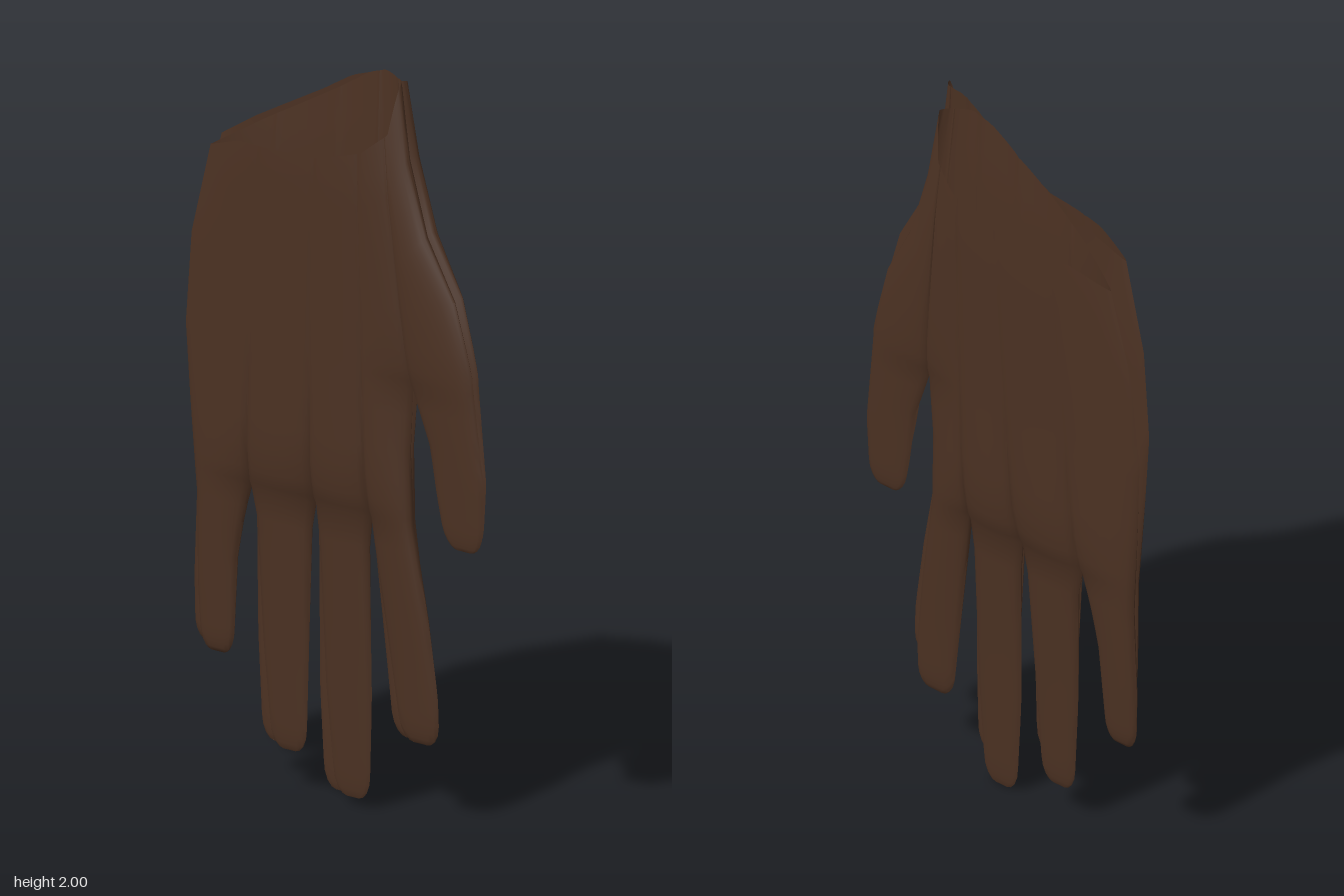
import * as THREE from 'three';
import { toCreasedNormals } from 'three/addons/utils/BufferGeometryUtils.js';

// Piecewise-linear lookup in [[key, value], ...], keys in either order
function at(table, k) {
  const t = table[0][0] <= table[table.length - 1][0] ? table : [...table].reverse();
  if (k <= t[0][0]) return t[0][1];
  for (let i = 1; i < t.length; i++) {
    if (k <= t[i][0]) return THREE.MathUtils.mapLinear(k, t[i - 1][0], t[i][0], t[i - 1][1], t[i][1]);
  }
  return t[t.length - 1][1];
}

// Seams between fingers inside the palm: [y, x] down to the crotch, and half thickness there
const TOP = 1.8, BEND = 1.2;
const seams = [
  { path: [[TOP, -0.2], [0.8, -0.25]], half: 0.037, crotch: 0.8 },
  { path: [[TOP, 0], [0.8, -0.03]], half: 0.044, crotch: 0.8 },
  { path: [[TOP, 0.14], [0.8, 0.16]], half: 0.037, crotch: 0.8 },
  { path: [[TOP, 0.215], [1.17, 0.3]], half: 0.022, crotch: 1.17 },
];
const rim = { half: 0, crotch: 0 };

// Each strip runs from the cuff to a fingertip between a left and a right edge
const fingerBulge = [[0, 0.005], [0.4, 0.013], [0.8, 0.025], [1.2, 0.009], [1.8, 0.006]];
const thumbBulge = [[0.77, 0.007], [1.17, 0.018], [1.5, 0.016], [1.8, 0.008]];
const strips = [
  { // little finger
    crotch: 0.8, tip: 0.325, bulge: fingerBulge, seamL: rim, seamR: seams[0],
    left: [[TOP, -0.39], [1.5, -0.455], [1.2, -0.475], [1, -0.46], [0.75, -0.435], [0.5, -0.435], [0.33, -0.425]],
    right: [...seams[0].path, [0.72, -0.275], [0.6, -0.3], [0.35, -0.315]],
  },
  { // ring finger
    crotch: 0.8, tip: 0.105, bulge: fingerBulge, seamL: seams[0], seamR: seams[1],
    left: [...seams[0].path, [0.74, -0.232], [0.4, -0.215], [0.1, -0.185]],
    right: [...seams[1].path, [0.74, -0.045], [0.1, -0.07]],
  },
  { // middle finger
    crotch: 0.8, tip: 0.02, bulge: fingerBulge, seamL: seams[1], seamR: seams[2],
    left: [...seams[1].path, [0.74, -0.02], [0.3, 0], [0.02, 0.03]],
    right: [...seams[2].path, [0.74, 0.15], [0.3, 0.155], [0.02, 0.145]],
  },
  { // index finger
    crotch: 0.8, tip: 0.212, bulge: fingerBulge, seamL: seams[2], seamR: seams[3],
    left: [...seams[2].path, [0.72, 0.172], [0.22, 0.255]],
    right: [...seams[3].path, [1, 0.29], [0.8, 0.3], [0.55, 0.35], [0.35, 0.38], [0.21, 0.385]],
  },
  { // thumb
    crotch: 1.17, tip: 0.765, bulge: thumbBulge, seamL: seams[3], seamR: rim,
    left: [...seams[3].path, [1.1, 0.328], [1.03, 0.357], [0.9, 0.38], [0.77, 0.41]],
    right: [[TOP, 0.245], [1.62, 0.29], [1.51, 0.34], [1.385, 0.44], [1.24, 0.5], [0.95, 0.54], [0.77, 0.535]],
  },
];

// Cuff height across the hand: low on the outer sheet, high on the inner one
const cuffOuter = [[-0.39, 1.7], [-0.27, 1.74], [0, 1.75], [0.15, 1.79], [0.225, 1.85], [0.245, 1.985]];
const cuffInner = [[-0.39, 1.7], [-0.24, 1.79], [0, 1.92], [0.1, 1.98], [0.16, 2], [0.245, 1.985]];
const middleZ = [[0, 0.058], [0.8, 0.065], [1.7, 0.066], [2, 0.05]];
const palmScale = [[0.8, 0.62], [1.2, 0.92], [1.8, 1.05]];
const palmRows = [TOP, 1.72, 1.65, 1.5, 1.38, 1.28, 1.23, BEND, 1.17, 1.1, 1, 0.92, 0.86, 0.82, 0.8];
const COLS = 10, FINGER_ROWS = 14;

// Seam thickness fades to nothing at the crotch
function seamHalf(seam, y) {
  const web = Math.sqrt(THREE.MathUtils.clamp((y - seam.crotch) / 0.13, 0, 1));
  return seam.half * at(palmScale, y) * web;
}

// Point of one sheet of a strip; side 1 is the outer sheet, -1 the inner one
function sheetPoint(s, y, u, side) {
  const L = at(s.left, y), R = at(s.right, y);
  const near = Math.min((y - s.tip) / 0.06, 1);
  const round = Math.sqrt(Math.max(0, 1 - (1 - near) ** 2));
  const width = (R - L) * (0.35 + 0.65 * round);
  const x = (L + R) / 2 + (u - 0.5) * width;
  const lens = Math.sqrt(Math.max(0, 4 * u * (1 - u)));
  const half = (THREE.MathUtils.lerp(seamHalf(s.seamL, y), seamHalf(s.seamR, y), u)
    + at(s.bulge, y) * lens) * round;
  let height = y;
  if (y > BEND) {
    const topX = THREE.MathUtils.lerp(at(s.left, TOP), at(s.right, TOP), u);
    const cuff = at(side > 0 ? cuffOuter : cuffInner, topX);
    height = BEND + (y - BEND) * (cuff - BEND) / (TOP - BEND);
  }
  return [x, height, at(middleZ, height) + side * half];
}

// One glove as a hollow shell; facing -1 mirrors it front to back
function gloveGeometry(facing) {
  const pos = [], index = [];
  for (const s of strips) {
    const rows = palmRows.filter((y) => y >= s.crotch);
    for (let k = 1; k <= FINGER_ROWS; k++) {
      rows.push(THREE.MathUtils.lerp(s.crotch, s.tip, Math.sin((k / FINGER_ROWS) * Math.PI / 2)));
    }
    for (const side of [1, -1]) {
      const base = pos.length / 3;
      rows.forEach((y, r) => {
        for (let c = 0; c <= COLS; c++) {
          const u = (1 - Math.cos((c / COLS) * Math.PI)) / 2;
          const [px, py, pz] = sheetPoint(s, y, u, side);
          pos.push(px, py, pz * facing);
          if (r === 0 || c === 0) continue;
          const d = base + r * (COLS + 1) + c, b = d - COLS - 1;
          if (side * facing > 0) index.push(b - 1, d - 1, d, b - 1, d, b);
          else index.push(b - 1, d, d - 1, b - 1, b, d);
        }
      });
    }
  }
  const geo = new THREE.BufferGeometry();
  geo.setAttribute('position', new THREE.Float32BufferAttribute(pos, 3));
  geo.setIndex(index);
  return toCreasedNormals(geo, 1);
}

export function createModel() {
  const group = new THREE.Group();
  group.name = 'pairOfGloves';
  const leather = new THREE.MeshStandardMaterial({ color: 0x4b3122, side: THREE.DoubleSide });

  const front = new THREE.Mesh(gloveGeometry(1), leather);
  front.name = 'frontGlove';

  // The rear glove is mirrored and leans slightly away
  const back = new THREE.Mesh(gloveGeometry(-1), leather);
  back.name = 'backGlove';
  back.position.set(-0.1, -0.018, 0.043);
  back.rotation.set(-0.019, 0, -0.02);

  group.add(front, back);
  return group;
}
